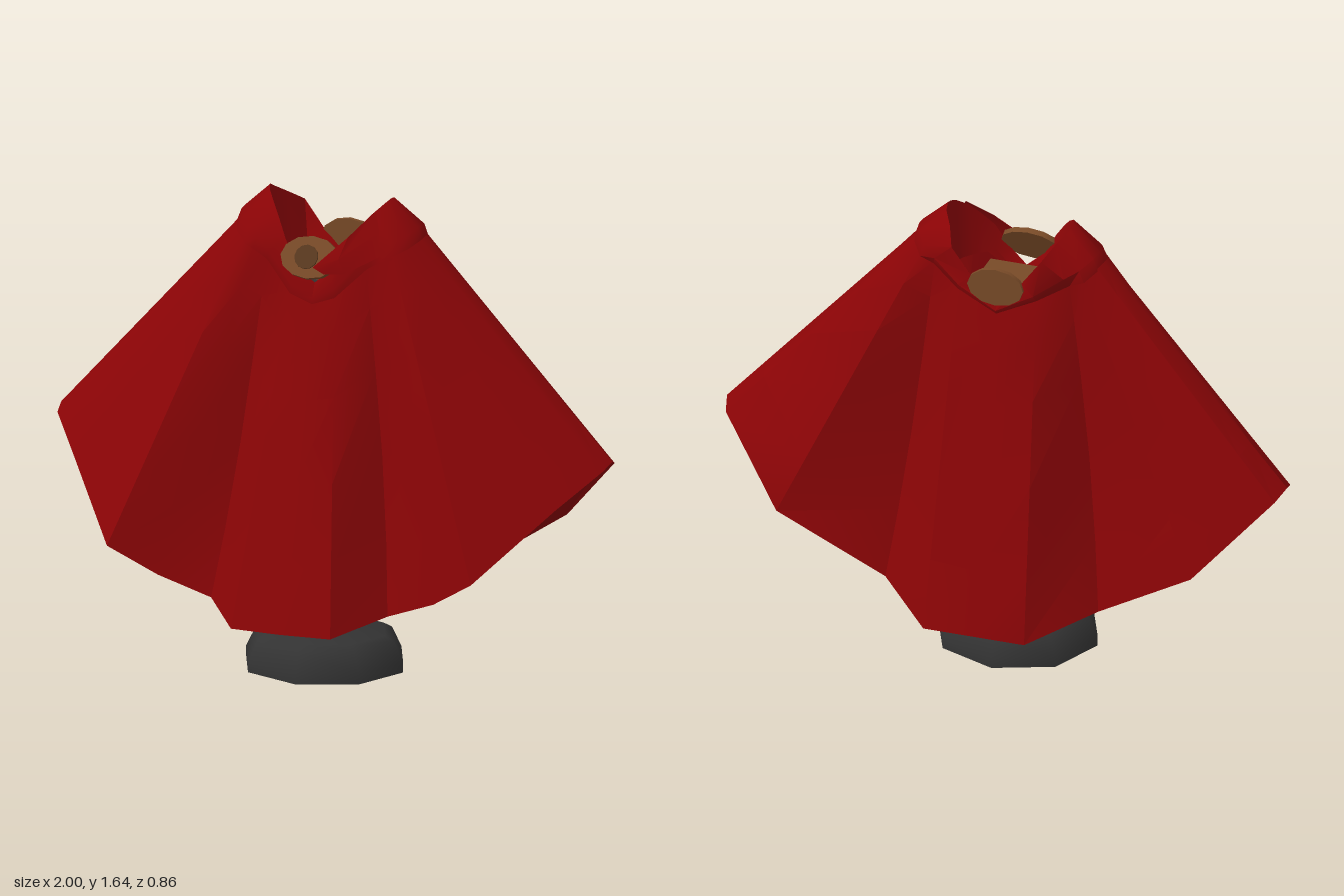
import * as THREE from 'three';
import { toCreasedNormals } from 'three/addons/utils/BufferGeometryUtils.js';

const paint = (name, color, side = THREE.FrontSide) => {
  const m = new THREE.MeshStandardMaterial({ color, side });
  m.name = name;
  return m;
};

// Half rings on the +x side, from front centre to back centre
const RIDGE = [
  [0, 1.36, 0.11], [0.06, 1.41, 0.12], [0.11, 1.5, 0.1], [0.15, 1.56, 0.06], [0.18, 1.6, 0.03],
  [0.21, 1.63, -0.01], [0.22, 1.64, -0.035], [0.225, 1.64, -0.05], [0.22, 1.625, -0.08],
  [0.19, 1.595, -0.13], [0.16, 1.555, -0.2], [0.09, 1.46, -0.2], [0, 1.37, -0.19],
];
const NECK = [
  [0, 1.3, 0.13], [0.08, 1.33, 0.13], [0.18, 1.43, 0.09], [0.23, 1.46, 0.09], [0.27, 1.47, 0.08],
  [0.31, 1.49, 0.04], [0.335, 1.51, -0.02], [0.335, 1.515, -0.06], [0.325, 1.51, -0.1],
  [0.29, 1.48, -0.14], [0.24, 1.46, -0.14], [0.14, 1.41, -0.19], [0, 1.34, -0.195],
];
const HEM = [
  [0, 0.21, 0.43], [0.18, 0.21, 0.42], [0.32, 0.26, 0.25], [0.5, 0.33, 0.285], [0.66, 0.43, 0.345],
  [0.87, 0.65, 0.11], [0.99, 0.765, -0.03], [1, 0.785, -0.09], [0.98, 0.76, -0.16],
  [0.74, 0.51, -0.33], [0.38, 0.28, -0.245], [0.18, 0.21, -0.43], [0, 0.21, -0.43],
];

const mirrored = (half) =>
  [...half, ...half.slice(1, -1).reverse().map(([x, y, z]) => [-x, y, z])];

const mix = (p, q, t) => p.map((v, k) => v + (q[k] - v) * t);

// Surface strip through equal-length rows, top to bottom
function loft(rows, crease, closed = true) {
  const n = rows[0].length, index = [];
  for (let i = 0; i < rows.length - 1; i++) {
    for (let j = 0; j < (closed ? n : n - 1); j++) {
      const k = (j + 1) % n;
      const a = i * n + j, b = i * n + k, c = a + n, d = b + n;
      index.push(a, c, b, b, c, d);
    }
  }
  const g = new THREE.BufferGeometry();
  g.setAttribute('position', new THREE.Float32BufferAttribute(rows.flat(2), 3));
  g.setIndex(index);
  return toCreasedNormals(g, crease);
}

export function createModel() {
  const model = new THREE.Group();
  const red = paint('red cloth', 0x8b0406, THREE.DoubleSide);
  const charcoal = paint('charcoal stand', 0x333333);
  const brown = paint('brown leather', 0x784a27);
  const darkBrown = paint('dark brown', 0x59391f);

  const add = (name, geometry, material, x = 0, y = 0, z = 0) => {
    const mesh = new THREE.Mesh(geometry, material);
    mesh.name = name;
    mesh.position.set(x, y, z);
    model.add(mesh);
    return mesh;
  };

  // Draped cloth, pinched deeper at the valleys between the panels
  const valleys = [2, 10];
  const rows = [0, 0.12, 0.3, 0.55, 0.8, 1].map((t) => NECK.map((p, j) => {
    const q = mix(p, HEM[j], t);
    if (valleys.includes(j)) q[2] *= 1 - 0.22 * Math.sin(Math.PI * t);
    return q;
  }));
  // Hem turned under, further in at the wing corners
  const corners = [4, 9];
  const turned = HEM.map(([x, y, z], j) => [x * 0.97, y + 0.02, z * (corners.includes(j) ? 0.72 : 0.93)]);
  add('cape', loft([...rows, turned].map(mirrored), 0.7), red);

  // Folded collar: inside lining, ridge, rounded brow, outer edge
  const lining = RIDGE.map(([x, y, z]) => [x * 0.86, Math.min(y - 0.05, 1.42), -0.04 + (z + 0.04) * 0.8]);
  const outer = NECK.map(([x, y, z]) => [x * 1.01, y - 0.01, z * 1.03]);
  const brow = RIDGE.map((p, j) => {
    const [x, y, z] = mix(p, outer[j], 0.65);
    return [x * 1.08, y, z * 1.06];
  });
  add('collar', loft([lining, RIDGE, brow, outer].map(mirrored), 0.7), red);

  // Collar end lapping over the front clasp
  add('collarLap', loft([
    [[0.06, 1.47, 0.145], [0.12, 1.53, 0.11], [0.19, 1.61, 0.03]],
    [[0.01, 1.425, 0.155], [0.1, 1.46, 0.148], [0.22, 1.55, 0.075]],
    [[0.05, 1.405, 0.155], [0.12, 1.41, 0.145], [0.23, 1.47, 0.1]],
  ], 0.7, false), red);

  // Pedestal base and post
  const profile = [[0, 0], [0.285, 0], [0.285, 0.035], [0.25, 0.105], [0.22, 0.122], [0, 0.125]]
    .map(([r, y]) => new THREE.Vector2(r, y));
  const base = add('base', toCreasedNormals(new THREE.LatheGeometry(profile, 8), 0.9), charcoal, 0, 0, 0.02);
  base.scale.z = 0.95;
  add('post', new THREE.CylinderGeometry(0.08, 0.08, 1.2, 8), charcoal, 0, 0.72, 0.03);

  // Shoulder form and neck block inside the collar
  const form = add('shoulderForm', new THREE.CylinderGeometry(0.2, 0.25, 0.1, 8), charcoal, 0, 1.3, -0.05);
  form.scale.z = 0.55;
  add('neckBlock', new THREE.BoxGeometry(0.21, 0.12, 0.2), brown, 0, 1.34, -0.06);

  // Oval clasps at front and back; the front one leans back
  const oval = (name, rx, ry, depth, material, x, y, z, lean = 0) => {
    const mesh = add(name, new THREE.CylinderGeometry(1, 1, 1, 12), material, x, y, z);
    mesh.rotation.x = Math.PI / 2 - lean;
    mesh.scale.set(rx, depth, ry);
  };
  oval('frontClasp', 0.105, 0.074, 0.02, brown, -0.015, 1.445, 0.112, 0.48);
  oval('frontClaspBoss', 0.042, 0.042, 0.008, darkBrown, -0.025, 1.45, 0.123, 0.48);
  oval('backClasp', 0.1, 0.068, 0.016, brown, 0, 1.435, -0.205);

  return model;
}
